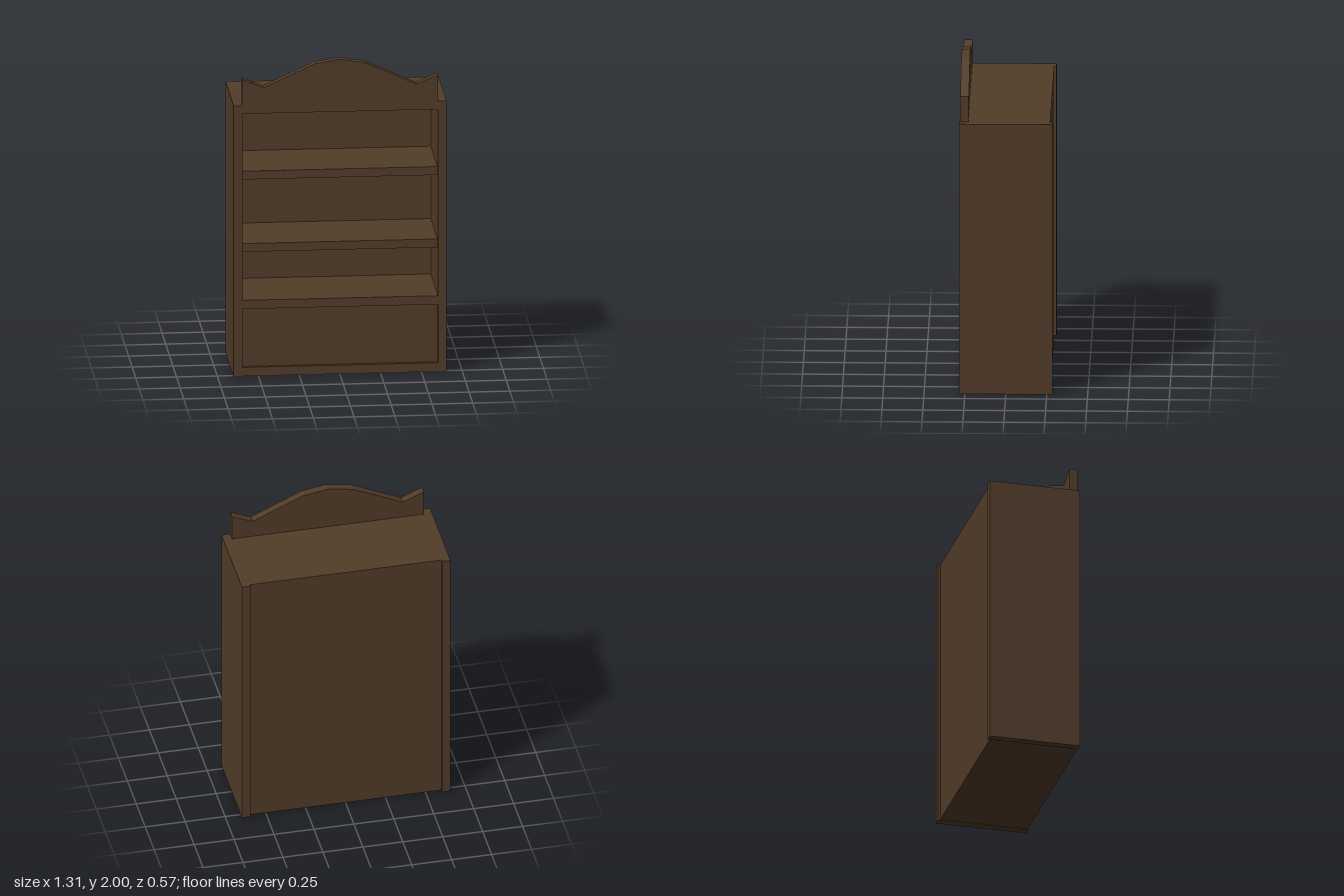
import * as THREE from 'three';

export function createModel() {
  const group = new THREE.Group();
  group.name = 'bookcase';
  const wood = new THREE.MeshStandardMaterial({ color: 0x513c28, flatShading: true });

  const add = (name, geometry) => {
    const mesh = new THREE.Mesh(geometry, wood);
    mesh.name = name;
    group.add(mesh);
    return mesh;
  };

  // Board given by its lower and upper limits on each axis
  const board = (name, [x0, x1], [y0, y1], [z0, z1]) =>
    add(name, new THREE.BoxGeometry(x1 - x0, y1 - y0, z1 - z0))
      .position.set((x0 + x1) / 2, (y0 + y1) / 2, (z0 + z1) / 2);

  const inner = 0.6, outer = 0.653;
  const span = [-inner, inner];
  const backFace = -0.27, backInner = -0.215, front = 0.282;

  // Side walls
  board('leftSide', [inner, outer], [0, 1.72], [-0.285, 0.285]);
  board('rightSide', [-outer, -inner], [0, 1.72], [-0.285, 0.285]);

  // Back panel, set in between the sides
  board('backPanel', span, [0.004, 1.72], [backFace, backInner]);

  // Top and base boards
  board('topBoard', span, [1.667, 1.72], [backInner, 0.23]);
  board('baseBoard', span, [0.004, 0.06], [backInner, front]);

  // Full-depth lower shelf and two slightly recessed upper shelves
  board('lowerShelf', span, [0.43, 0.485], [backInner, front]);
  for (const y of [0.783, 1.242]) board('upperShelf', span, [y, y + 0.053], [backInner, 0.25]);

  // Closed panel in front of the bottom compartment
  board('lowerFrontPanel', span, [0.06, 0.43], [0.207, 0.26]);

  // Shaped crest along the top of the front
  const half = [[0.6, 1.885], [0.47, 1.83], [0.155, 1.974]];
  const outline = [
    [-inner, 1.667], [inner, 1.667],
    ...half, [0, 2], ...half.map(([x, y]) => [-x, y]).reverse(),
  ].map(([x, y]) => new THREE.Vector2(x, y));
  add('crest', new THREE.ExtrudeGeometry(new THREE.Shape(outline), {
    depth: front - 0.23, bevelEnabled: false,
  })).position.z = 0.23;

  return group;
}
